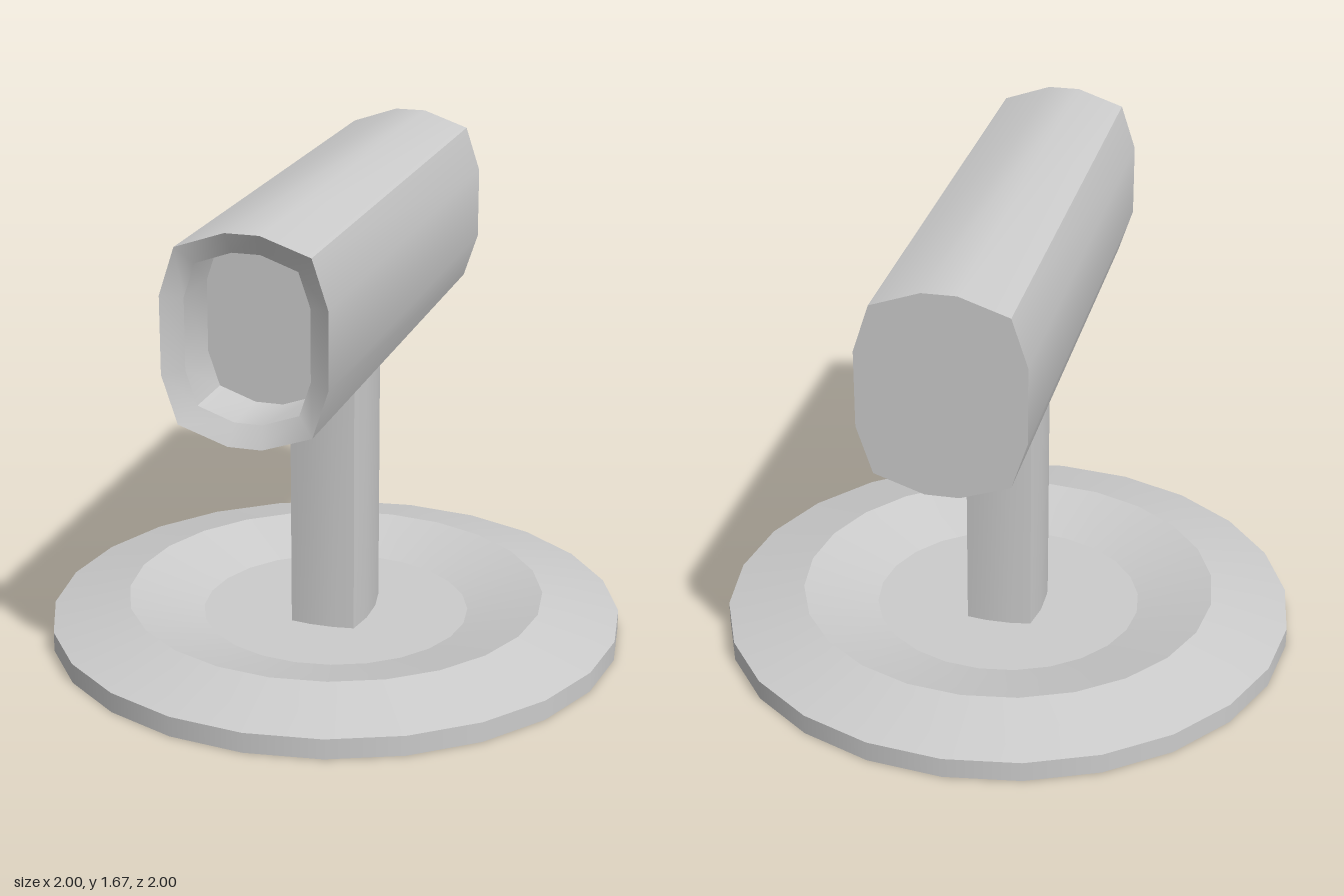
import * as THREE from 'three';
import { mergeGeometries, toCreasedNormals } from 'three/addons/utils/BufferGeometryUtils.js';

const material = new THREE.MeshStandardMaterial({ color: 0xcccccc });

// Bulged rectangle of 12 points, counter-clockwise: corner (cx, cy), side bulge to (w, sy), end bulge to (ex, h)
function section(cx, cy, w, sy, ex, h) {
  return [
    [cx, -cy], [w, -sy], [w, sy], [cx, cy], [ex, h], [-ex, h],
    [-cx, cy], [-w, sy], [-w, -sy], [-cx, -cy], [-ex, -h], [ex, -h],
  ];
}

// Closed skin through [section, z] rings, with a cap at the first and the last ring
function loft(rings) {
  const positions = [], index = [], n = rings[0][0].length;
  for (const [points, z] of rings) for (const [x, y] of points) positions.push(x, y, z);
  for (let r = 0; r < rings.length - 1; r++) {
    for (let i = 0; i < n; i++) {
      const a = r * n + i, b = r * n + (i + 1) % n;
      index.push(a, b, b + n, a, b + n, a + n);
    }
  }
  const last = (rings.length - 1) * n;
  for (let i = 1; i < n - 1; i++) {
    index.push(0, i + 1, i);
    index.push(last, last + i, last + i + 1);
  }
  const geometry = new THREE.BufferGeometry();
  geometry.setAttribute('position', new THREE.Float32BufferAttribute(positions, 3));
  geometry.setIndex(index);
  return toCreasedNormals(geometry, THREE.MathUtils.degToRad(30));
}

function part(name, geometry) {
  const mesh = new THREE.Mesh(geometry, material);
  mesh.name = name;
  return mesh;
}

export function createModel() {
  const model = new THREE.Group();
  model.name = 'mountedTube';

  // Round base with a shallow dish; one lathe per band keeps the rings crisp
  const profile = [[0, 0], [1, 0], [1, 0.07], [0.73, 0.135], [0.467, 0.067], [0, 0.067]]
    .map(([r, y]) => new THREE.Vector2(r, y));
  const bands = profile.slice(1).map((p, i) => new THREE.LatheGeometry([profile[i], p], 24));
  model.add(part('base', mergeGeometries(bands)));

  // Upright post
  const postSection = section(0.113, 0.155, 0.131, 0.055, 0.042, 0.165);
  const post = part('post', loft([[postSection, 0.067], [postSection, 1]]));
  post.geometry.rotateX(-Math.PI / 2);
  model.add(post);

  // Horizontal tube: solid back, bevelled front rim and a shallow bore
  const outer = section(0.215, 0.28, 0.266, 0.125, 0.055, 0.335);
  const inner = section(0.163, 0.225, 0.2, 0.115, 0.045, 0.267);
  const tube = part('tube', loft([[outer, -0.935], [outer, 0.935], [inner, 0.9], [inner, 0.7]]));
  tube.position.y = 1.335;
  model.add(tube);

  return model;
}
